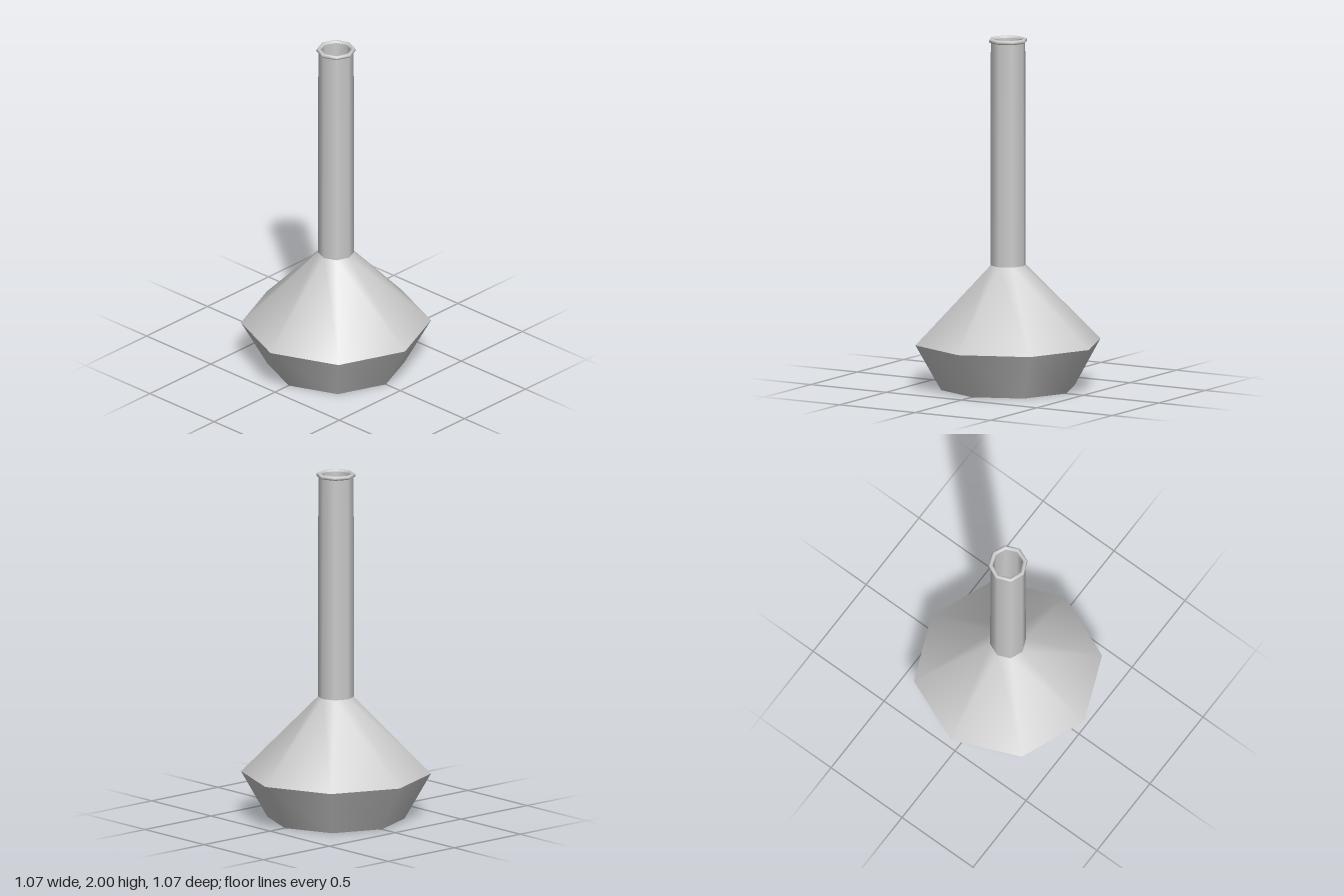
import * as THREE from 'three';

const SIDES = 8;

export function createModel() {
  const model = new THREE.Group();
  model.name = 'flask';
  const material = new THREE.MeshStandardMaterial({ color: 0xcccccc });

  // One eight-sided turned band; normals are smooth within it and sharp at its ends.
  function band(name, profile) {
    const points = profile.map(([r, y]) => new THREE.Vector2(r, y));
    const mesh = new THREE.Mesh(new THREE.LatheGeometry(points, SIDES), material);
    mesh.name = name;
    model.add(mesh);
  }

  // Outside, from the base upwards
  band('base', [[0, 0], [0.388, 0]]);
  band('lowerBody', [[0.388, 0], [0.537, 0.262]]);
  band('shoulder', [[0.537, 0.262], [0.102, 0.703]]);
  band('neck', [[0.102, 0.703], [0.1, 1.978]]);

  // Rounded lip around the mouth
  band('lip', [[0.1, 1.976], [0.108, 1.979], [0.112, 1.988], [0.107, 1.997], [0.099, 2], [0.09, 1.997], [0.086, 1.988]]);

  // Inside of the hollow vessel, from the mouth downwards
  band('innerNeck', [[0.086, 1.988], [0.086, 0.695]]);
  band('innerShoulder', [[0.086, 0.695], [0.515, 0.262]]);
  band('innerBody', [[0.515, 0.262], [0.38, 0.02]]);
  band('innerFloor', [[0.38, 0.02], [0, 0.02]]);

  return model;
}
